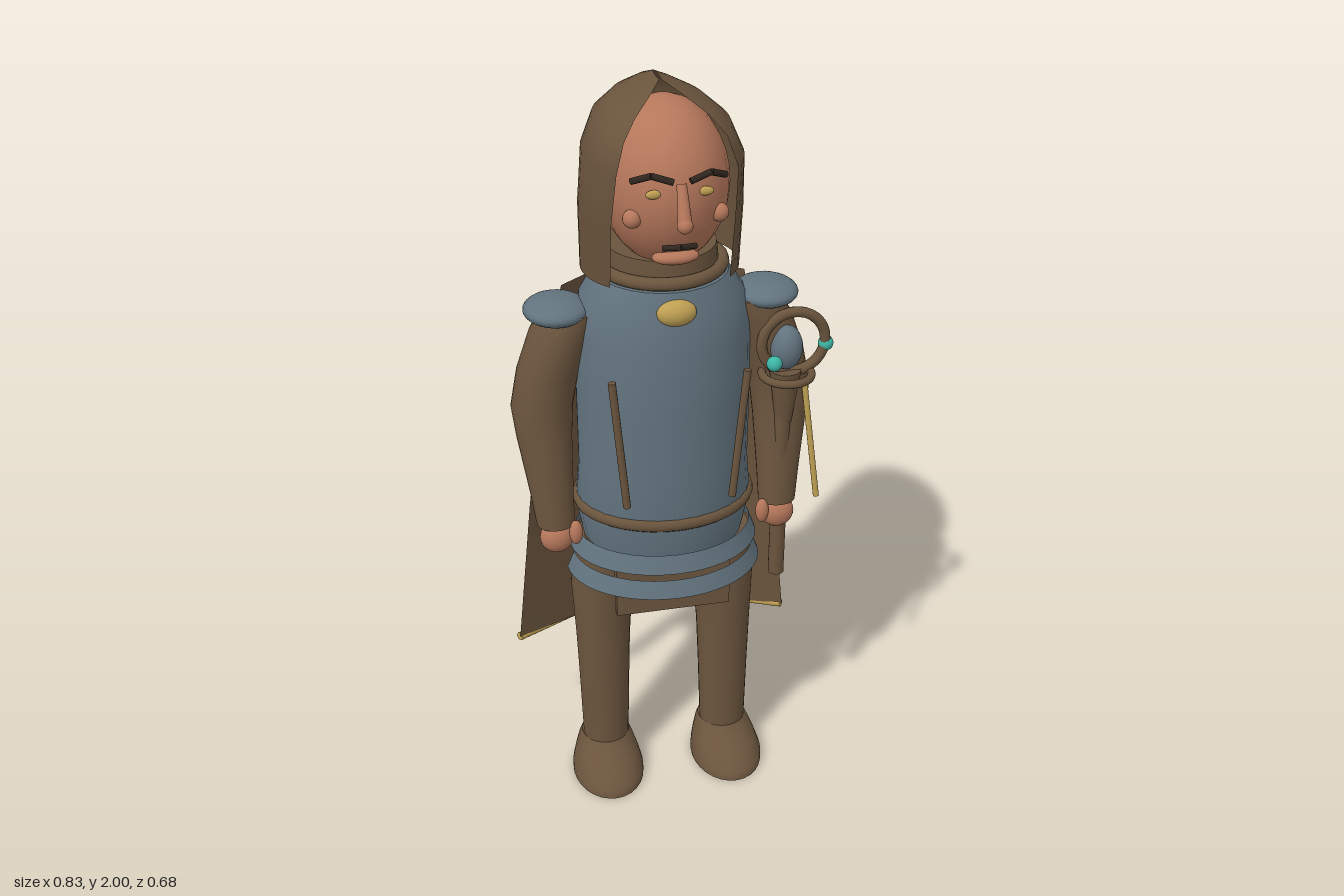
import * as THREE from 'three';

const paint = (name, color, side = THREE.FrontSide) => {
  const m = new THREE.MeshStandardMaterial({ color, side });
  m.name = name;
  return m;
};

export function createModel() {
  const cloth = paint('brown cloth', 0x6a543d, THREE.DoubleSide);
  const steel = paint('slate steel', 0x62737e, THREE.DoubleSide);
  const skin = paint('skin', 0xb5775b);
  const gold = paint('gold', 0xbfa053);
  const teal = paint('teal', 0x3cb5a5);
  const dark = paint('dark hair', 0x30261f);

  const model = new THREE.Group();
  model.name = 'cloakedKnight';
  const body = new THREE.Group();
  body.name = 'figure';
  body.position.x = -0.02;
  model.add(body);

  const add = (name, geo, mat, x = 0, y = 0, z = 0) => {
    const m = new THREE.Mesh(geo, mat);
    m.name = name;
    m.position.set(x, y, z);
    body.add(m);
    return m;
  };
  const ball = (name, mat, x, y, z, rx, ry = rx, rz = rx) =>
    add(name, new THREE.SphereGeometry(1, 24, 16).scale(rx, ry, rz), mat, x, y, z);
  const rod = (name, mat, a, b, r, r2 = r) => {
    const p = new THREE.Vector3(...a), q = new THREE.Vector3(...b);
    const m = add(name, new THREE.CylinderGeometry(r2, r, p.distanceTo(q), 12), mat);
    m.position.copy(p).add(q).multiplyScalar(0.5);
    m.quaternion.setFromUnitVectors(new THREE.Vector3(0, 1, 0), q.sub(p).normalize());
    return m;
  };

  // Skin over rows of points, listed from the bottom up
  function surface(rows, closed) {
    const n = rows[0].length, pos = rows.flat(2), idx = [];
    for (let i = 0; i < rows.length - 1; i++)
      for (let j = 0; j < (closed ? n : n - 1); j++) {
        const k = (j + 1) % n, a = i * n + j, b = i * n + k;
        idx.push(a, a + n, b, b, a + n, b + n);
      }
    // Separate vertices keep the end caps crisp
    if (closed) for (const top of [false, true]) {
      const ring = top ? rows[rows.length - 1] : rows[0], s = pos.length / 3;
      pos.push(...ring.flat());
      for (let j = 1; j < n - 1; j++) idx.push(s, top ? s + j + 1 : s + j, top ? s + j : s + j + 1);
    }
    const g = new THREE.BufferGeometry();
    g.setAttribute('position', new THREE.Float32BufferAttribute(pos, 3));
    g.setIndex(idx);
    g.computeVertexNormals();
    return g;
  }
  // Elliptic rows [y, cx, cz, rx, rz]; an arc below PI leaves the front open
  const loft = (rows, arc = Math.PI, n = 28) => surface(rows.map(([y, cx, cz, rx, rz]) => {
    const open = arc < Math.PI;
    return Array.from({ length: open ? n + 1 : n }, (_, j) => {
      const a = (j / n * 2 - 1) * arc;
      return [cx + rx * Math.sin(a), y, cz - rz * Math.cos(a)];
    });
  }), arc === Math.PI);

  // Torso, neck and waist
  add('cuirass', loft([[0.78, 0, 0.08, 0.215, 0.175], [0.88, 0, 0.08, 0.235, 0.19], [1.0, 0, 0.08, 0.225, 0.19],
    [1.2, 0, 0.08, 0.226, 0.19], [1.38, 0, 0.075, 0.225, 0.19], [1.47, 0, 0.065, 0.21, 0.18],
    [1.53, 0, 0.055, 0.17, 0.175]]), steel);
  add('neck', loft([[1.5, 0, 0.05, 0.15, 0.155], [1.6, 0, 0.05, 0.14, 0.15]]), cloth);
  const ring = (name, r, tube, y, z, depth) =>
    add(name, new THREE.TorusGeometry(r, tube, 10, 40).rotateX(Math.PI / 2).scale(1, 1, depth), cloth, 0, y, z);
  ring('collar', 0.155, 0.017, 1.545, 0.05, 1.04);
  ring('belt', 0.226, 0.018, 0.892, 0.08, 0.82);
  ball('brooch', gold, 0, 1.48, 0.235, 0.05, 0.034, 0.03);

  // Waist plates and lower clothing
  add('upperPlate', new THREE.CylinderGeometry(0.235, 0.255, 0.05, 36, 1, true).scale(1, 1, 0.8), steel, 0, 0.775, 0.08);
  add('lowerPlate', new THREE.CylinderGeometry(0.245, 0.265, 0.048, 24, 1, true, -Math.PI / 2, Math.PI)
    .scale(1, 1, 0.8), steel, 0, 0.702, 0.08);
  add('pelvis', loft([[0.69, 0, 0.07, 0.2, 0.13], [0.8, 0, 0.07, 0.22, 0.16]]), cloth);
  add('loincloth', new THREE.BoxGeometry(0.31, 0.15, 0.03), cloth, 0, 0.665, 0.2);

  for (const s of [-1, 1]) {
    // Legs and boots
    add('leg', loft([[0.08, s * 0.172, 0.1, 0.064, 0.06], [0.3, s * 0.172, 0.092, 0.07, 0.066],
      [0.45, s * 0.172, 0.085, 0.075, 0.075], [0.62, s * 0.17, 0.072, 0.085, 0.09],
      [0.76, s * 0.15, 0.07, 0.09, 0.1]]), cloth);
    add('boot', loft([[0, s * 0.175, 0.14, 0.1, 0.135], [0.025, s * 0.175, 0.138, 0.1, 0.132],
      [0.06, s * 0.174, 0.115, 0.089, 0.105], [0.09, s * 0.173, 0.095, 0.077, 0.082],
      [0.11, s * 0.172, 0.09, 0.068, 0.07]]), cloth);

    // Arms, hands and shoulder plates
    add('arm', loft([[0.86, s * 0.3, 0.14, 0.05, 0.042], [0.95, s * 0.305, 0.12, 0.057, 0.052],
      [1.1, s * 0.314, 0.085, 0.072, 0.07], [1.18, s * 0.315, 0.07, 0.08, 0.077],
      [1.28, s * 0.295, 0.065, 0.08, 0.08], [1.38, s * 0.26, 0.065, 0.08, 0.085],
      [1.44, s * 0.235, 0.065, 0.07, 0.075]]), cloth);
    ball('hand', skin, s * 0.3, 0.825, 0.15, 0.045, 0.045, 0.035);
    ball('thumb', skin, s * 0.252, 0.843, 0.17, 0.018, 0.035, 0.018);
    ball('shoulderPlate', steel, s * 0.27, 1.443, 0.07, 0.083, 0.034, 0.09);

    // Chest piping
    rod('chestPiping', cloth, [s * 0.137, 0.975, 0.285], [s * 0.17, 1.33, 0.28], 0.01);

    // Paired face details
    ball('cheek', skin, s * 0.105, 1.727, 0.225, 0.023);
    ball('eye', gold, s * 0.062, 1.797, 0.264, 0.019, 0.011, 0.008);
    rod('browInner', dark, [s * 0.02, 1.832, 0.288], [s * 0.07, 1.847, 0.277], 0.008);
    rod('browOuter', dark, [s * 0.07, 1.847, 0.277], [s * 0.112, 1.828, 0.25], 0.008);
    rod('moustache', dark, [0, 1.668, 0.28], [s * 0.04, 1.662, 0.262], 0.007);
  }

  // Head
  ball('head', skin, 0, 1.77, 0.09, 0.158, 0.205, 0.19);
  rod('nose', skin, [0, 1.735, 0.32], [0, 1.825, 0.283], 0.018, 0.012);
  ball('noseTip', skin, 0, 1.737, 0.32, 0.019);
  ball('lips', skin, 0, 1.622, 0.222, 0.058, 0.019, 0.03);

  // Hood with an open front and a pointed crown
  add('hood', loft([[1.53, 0, 0.04, 0.2, 0.19], [1.7, 0, 0.048, 0.202, 0.228], [1.84, 0, 0.066, 0.193, 0.265],
    [1.91, 0, 0.057, 0.163, 0.247], [1.95, 0, 0.045, 0.115, 0.195], [1.98, 0, 0.035, 0.055, 0.125],
    [2.0, 0, 0.02, 0.004, 0.05]], 2.3, 36), cloth);

  // Cape: rows of edge, fold and spine as [x, y, z], mirrored across the spine
  const capeRows = [
    [[0.39, 0.36, -0.055], [0.15, 0.325, -0.2], [0, 0.3, -0.325]],
    [[0.345, 0.8, -0.05], [0.15, 0.8, -0.2], [0, 0.8, -0.285]],
    [[0.295, 1.2, -0.045], [0.14, 1.2, -0.185], [0, 1.2, -0.25]],
    [[0.24, 1.46, -0.03], [0.12, 1.465, -0.115], [0, 1.47, -0.16]],
  ];
  add('cape', surface(capeRows.map(([e, f, c]) =>
    [[-e[0], e[1], e[2]], [-f[0], f[1], f[2]], c, f, e]), false), cloth);
  for (const s of [-1, 1])
    rod('capeTrim', gold, [s * 0.39, 0.355, -0.065], [0, 0.297, -0.333], 0.012);

  // Staff with crossed rings, held in the left hand
  rod('staffShaft', cloth, [0.305, 0.625, 0.145], [0.305, 1.24, 0.145], 0.022);
  rod('staffSocket', cloth, [0.308, 1.1, 0.145], [0.308, 1.25, 0.145], 0.022, 0.042);
  add('staffRing', new THREE.TorusGeometry(0.084, 0.014, 10, 36), cloth, 0.327, 1.325, 0.145);
  add('staffHoop', new THREE.TorusGeometry(0.064, 0.011, 10, 32).rotateX(Math.PI / 2), cloth, 0.31, 1.24, 0.152);
  ball('staffCore', steel, 0.309, 1.312, 0.145, 0.042, 0.06, 0.042);
  ball('staffBead', teal, 0.253, 1.312, 0.23, 0.02);
  ball('staffBead', teal, 0.414, 1.312, 0.142, 0.02);
  rod('staffTassel', gold, [0.362, 1.21, 0.14], [0.404, 0.865, 0.162], 0.008);

  return model;
}
